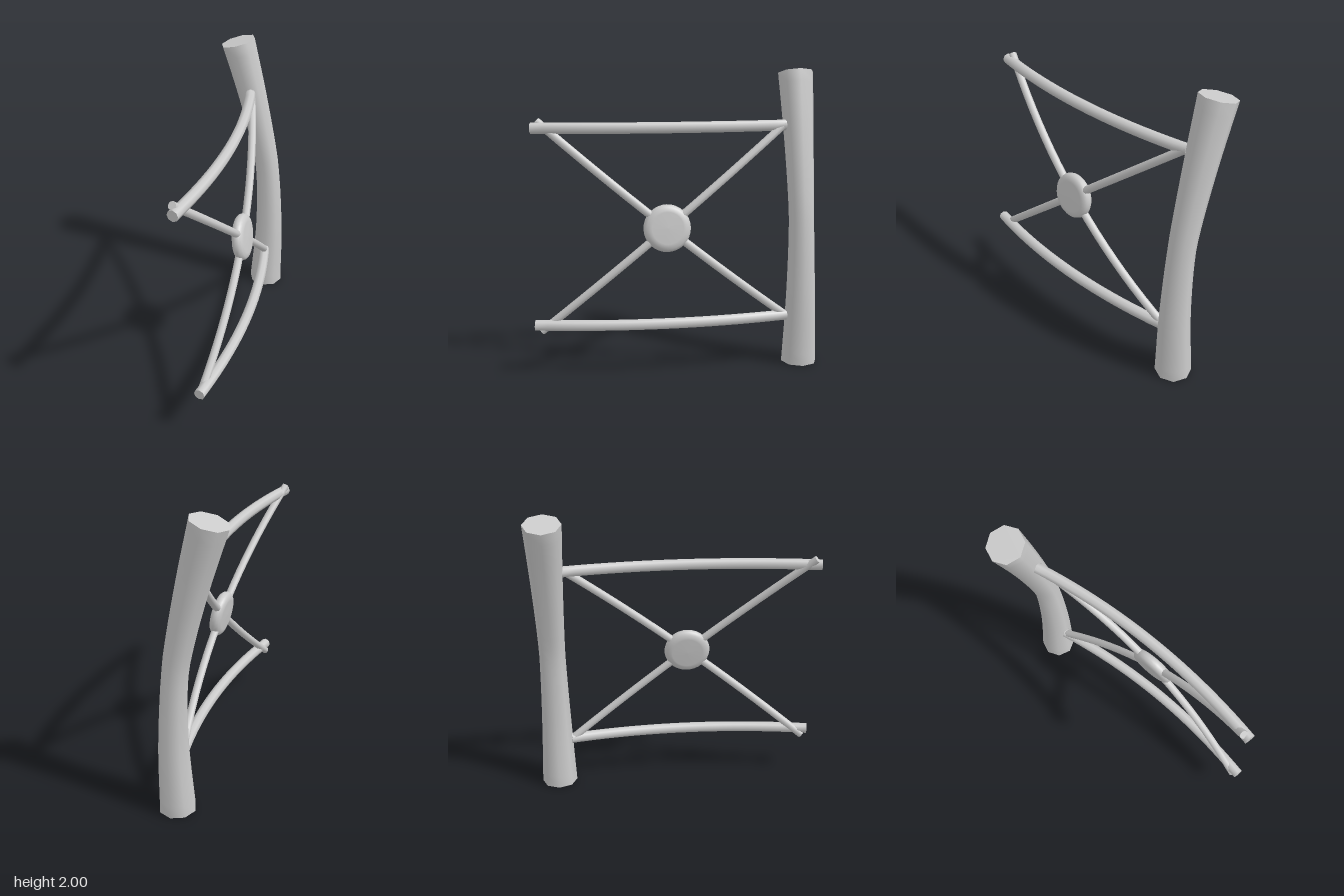
import * as THREE from 'three';

const V = (x, y, z) => new THREE.Vector3(x, y, z);
const material = new THREE.MeshStandardMaterial({ color: 0xcccccc });

// Capped tube along a curve; radius(t) gives the taper, ref fixes where the first corner points
function rod(curve, radius, sides, segments, ref) {
  const pos = [], idx = [];
  const ring = (t) => {
    const c = curve.getPointAt(t), tan = curve.getTangentAt(t);
    const a = ref.clone().addScaledVector(tan, -ref.dot(tan)).normalize();
    const b = V().crossVectors(tan, a);
    for (let j = 0; j < sides; j++) {
      const ang = (j / sides) * Math.PI * 2;
      const p = c.clone()
        .addScaledVector(a, Math.cos(ang) * radius(t))
        .addScaledVector(b, Math.sin(ang) * radius(t));
      pos.push(p.x, p.y, p.z);
    }
  };
  for (let i = 0; i <= segments; i++) ring(i / segments);
  for (let i = 0; i < segments; i++) {
    for (let j = 0; j < sides; j++) {
      const k = (j + 1) % sides, p = i * sides, q = p + sides;
      idx.push(p + j, p + k, q + j, p + k, q + k, q + j);
    }
  }
  // Separate end rings keep the caps flat
  for (const t of [0, 1]) {
    const s = pos.length / 3;
    ring(t);
    for (let j = 1; j < sides - 1; j++) {
      if (t) idx.push(s, s + j, s + j + 1);
      else idx.push(s, s + j + 1, s + j);
    }
  }
  const geo = new THREE.BufferGeometry();
  geo.setAttribute('position', new THREE.Float32BufferAttribute(pos, 3));
  geo.setIndex(idx);
  geo.computeVertexNormals();
  return geo;
}

export function createModel() {
  const model = new THREE.Group();
  const add = (name, geo) => {
    const mesh = new THREE.Mesh(geo, material);
    mesh.name = name;
    model.add(mesh);
    return mesh;
  };

  // Bent post, narrowest at mid height
  const postPath = new THREE.CatmullRomCurve3([
    [0.12, 0.004], [0.134, 0.5], [0.107, 1.0], [0.067, 1.22], [-0.025, 1.6], [-0.128, 1.967],
  ].map(([x, y]) => V(x, y, -0.838)));
  add('post', rod(postPath, (t) => 0.088 + 0.035 * Math.abs(2 * t - 1) ** 1.4, 8, 24, V(0, 0, 1)));

  // Two bowed rails
  for (const [name, x, y] of [['upperRail', -0.008, 1.622], ['lowerRail', 0.127, 0.336]]) {
    const path = new THREE.QuadraticBezierCurve3(
      V(x, y, -0.74), V(x + 0.17, y, 0.11), V(x, y, 0.955));
    add(name, rod(path, () => 0.037, 8, 20, V(0, 1, 0)));
  }

  // Crossing braces, bowed through the hub
  const hubCentre = V(0.165, 0.972, 0.085);
  const braces = [
    ['fallingBrace', V(0, 1.63, -0.735), V(0.118, 0.292, 0.915)],
    ['risingBrace', V(0.125, 0.335, -0.735), V(-0.022, 1.665, 0.915)],
  ];
  for (const [name, back, front] of braces) {
    const control = hubCentre.clone().multiplyScalar(2)
      .addScaledVector(back, -0.5).addScaledVector(front, -0.5);
    const path = new THREE.QuadraticBezierCurve3(back, control, front);
    add(name, rod(path, () => 0.027, 8, 20, V(1, 0, 0)));
  }

  // Rounded disc hub, leaning with the braces
  const profile = [new THREE.Vector2(0, -0.042), new THREE.Vector2(0.105, -0.04)];
  for (let i = 0; i <= 6; i++) {
    const a = -Math.PI / 2 + (i / 6) * Math.PI;
    profile.push(new THREE.Vector2(0.117 + 0.04 * Math.cos(a), 0.038 * Math.sin(a)));
  }
  profile.push(new THREE.Vector2(0.105, 0.04), new THREE.Vector2(0, 0.042));
  const hub = add('hub', new THREE.LatheGeometry(profile, 32));
  hub.position.copy(hubCentre);
  hub.rotation.z = -Math.PI / 2 + 0.15;

  return model;
}
